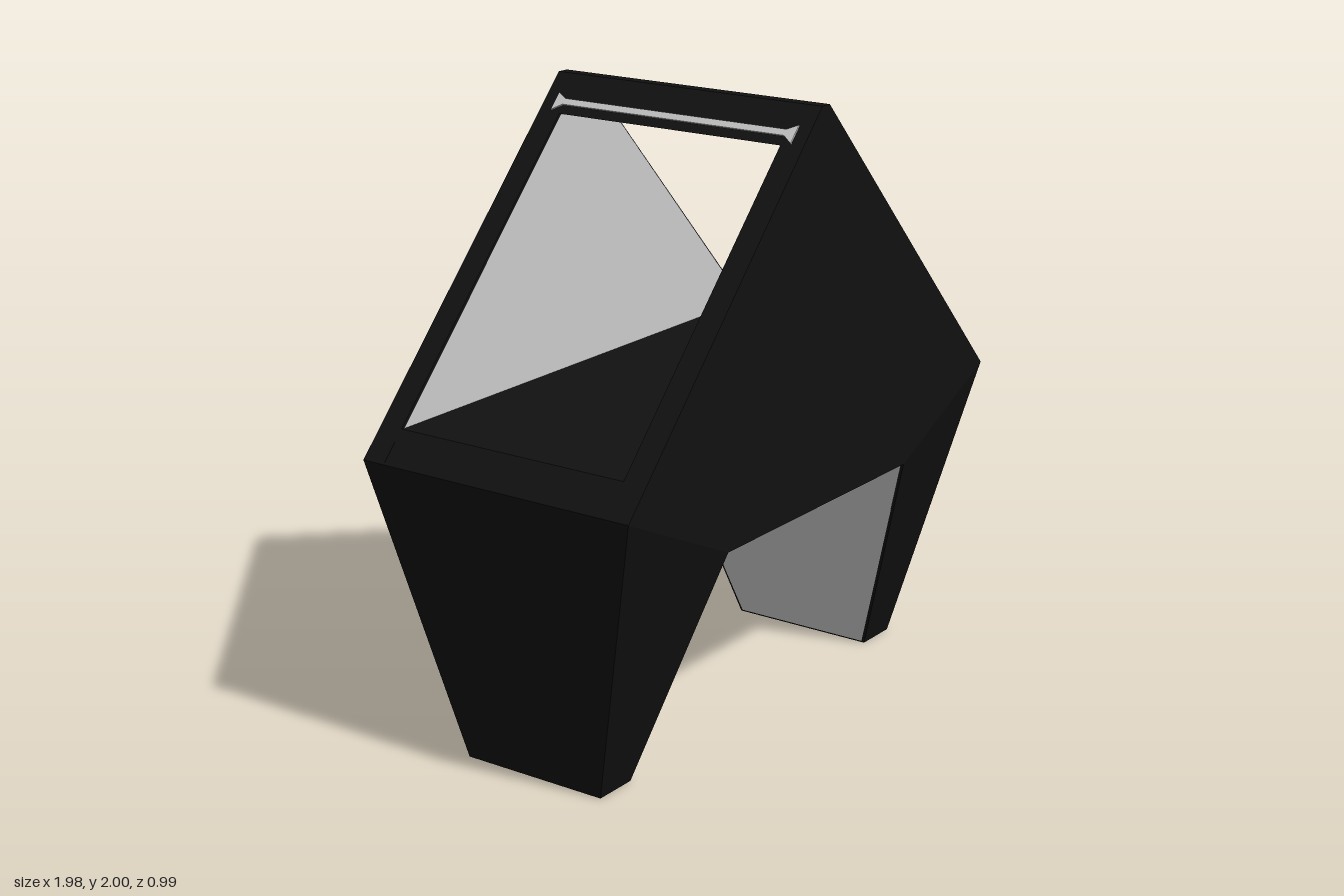
import * as THREE from 'three';

const black = new THREE.MeshStandardMaterial({ color: 0x111111, flatShading: true });
const grey = new THREE.MeshStandardMaterial({ color: 0xcccccc, flatShading: true });

const D = 0.495;   // half depth of the house
const W = 0.415;   // half depth of the roof opening

const polygon = pts => new THREE.Shape(pts.map(p => new THREE.Vector2(...p)));

function add(parent, name, geometry, material) {
  const mesh = new THREE.Mesh(geometry, material);
  mesh.name = name;
  parent.add(mesh);
  return mesh;
}

// Profile in the xy plane, extruded from z0 to z1
function prism(pts, z0, z1) {
  return new THREE.ExtrudeGeometry(polygon(pts), { depth: z1 - z0, bevelEnabled: false })
    .translate(0, 0, z0);
}

// Flat quads given as loops of four corners, counter-clockwise from outside
function quads(list) {
  const pos = list.flatMap(([a, b, c, d]) => [a, b, c, a, c, d].flat());
  const g = new THREE.BufferGeometry();
  g.setAttribute('position', new THREE.Float32BufferAttribute(pos, 3));
  g.computeVertexNormals();
  return g;
}

// Leg and roof trim on the +x side; the other side is the same turned by half a turn
function createSide(name) {
  const side = new THREE.Group();
  side.name = name;

  // Tapered leg: [x, y, half depth] at inner top, outer top, outer foot, inner foot
  const corners = [[0.5, 0.74, D], [0.99, 0.97, D], [0.82, 0, 0.255], [0.67, 0, 0.255]];
  const [it, ot, of, inf] = corners;
  const f = ([x, y, z]) => [x, y, z];
  const b = ([x, y, z]) => [x, y, -z];
  add(side, 'leg', quads([
    [f(it), f(inf), f(of), f(ot)],
    [b(of), b(inf), b(it), b(ot)],
    [f(ot), f(of), b(of), b(ot)],
    [f(inf), b(inf), b(of), f(of)],
    [f(it), b(it), b(inf), f(inf)],
  ]), black);

  // Pale panel on the inner face of the leg
  const p = ([x, y, z], s, dy) => [x - 0.004, y + dy, s * (z - 0.008)];
  add(side, 'legInnerPanel', quads([
    [p(it, 1, -0.006), p(it, -1, -0.006), p(inf, -1, 0.006), p(inf, 1, 0.006)],
  ]), grey);

  // Flared rail lying on the slope above the opening
  const half = [[-0.01, 0.415], [-0.03, 0.45], [0.036, 0.45], [0.012, 0.415]];
  const other = half.map(([u, v]) => [u, -v]).reverse();
  const rail = add(side, 'openingRail', new THREE.ExtrudeGeometry(
    polygon([...half, ...other]), { depth: 0.006, bevelEnabled: false }), grey);
  rail.applyMatrix4(new THREE.Matrix4().makeBasis(
    new THREE.Vector3(0.686, -0.728, 0),
    new THREE.Vector3(0, 0, -1),
    new THREE.Vector3(0.728, 0.686, 0)).setPosition(0.093, 1.922, 0));
  return side;
}

export function createModel() {
  const model = new THREE.Group();
  model.name = 'gabledShelter';

  // Solid gable walls, front and back
  const gable = [[-0.5, 0.74], [0.5, 0.74], [0.99, 0.97], [0.02, 2], [-0.02, 2], [-0.99, 0.97]];
  add(model, 'frontGable', prism(gable, W, D), black);
  add(model, 'backGable', prism(gable, -D, -W), black);

  // Floor slab and ridge beam between the gables
  add(model, 'floor', prism(
    [[-0.5, 0.74], [0.5, 0.74], [0.99, 0.97], [0.905, 1.06], [-0.905, 1.06], [-0.99, 0.97]],
    -W, W), black);
  add(model, 'ridgeBeam', prism(
    [[-0.123, 1.89], [0.123, 1.89], [0.02, 2], [-0.02, 2]], -W, W), black);

  // Pale lining on the inside of each gable
  const lining = new THREE.ShapeGeometry(polygon(
    [[-0.898, 1.06], [0.898, 1.06], [0.118, 1.89], [-0.118, 1.89]])).translate(0, 0, -W + 0.004);
  add(model, 'backLining', lining, grey);
  add(model, 'frontLining', lining, grey).rotation.y = Math.PI;

  const left = createSide('leftSide');
  const right = createSide('rightSide');
  right.rotation.y = Math.PI;
  model.add(left, right);
  return model;
}
